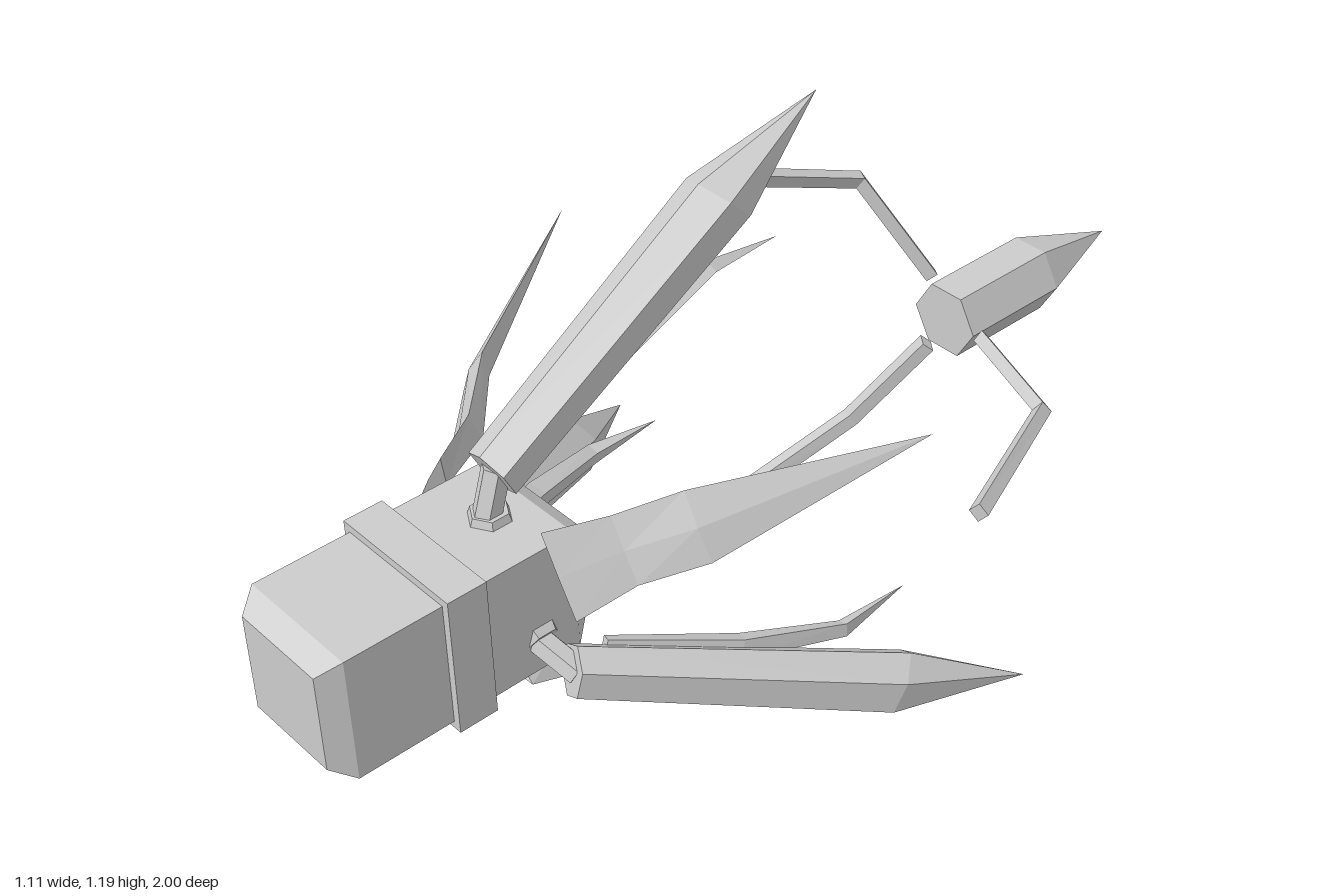
import * as THREE from 'three';

const AXIS_Y = 0.546;
const grey = new THREE.MeshStandardMaterial({ color: 0xcccccc, flatShading: true });
grey.name = 'plain grey';

// Closed solid through a list of rings with equal point counts; a tip is a ring of equal points.
function loft(name, rings) {
  const tris = [];
  const n = rings[0].length;
  for (let i = 0; i < rings.length - 1; i++) {
    for (let j = 0; j < n; j++) {
      const k = (j + 1) % n;
      const a = rings[i][j], b = rings[i][k], c = rings[i + 1][k], d = rings[i + 1][j];
      tris.push([a, b, c], [a, c, d]);
    }
  }
  const first = rings[0], last = rings[rings.length - 1];
  for (let j = 1; j < n - 1; j++) {
    tris.push([first[0], first[j + 1], first[j]], [last[0], last[j], last[j + 1]]);
  }
  const solid = tris.filter(([a, b, c]) =>
    b.clone().sub(a).cross(c.clone().sub(a)).length() > 1e-9);
  // Turn the faces outward if the volume comes out negative
  const volume = solid.reduce((s, [a, b, c]) => s + a.dot(b.clone().cross(c)), 0);
  const points = solid.flatMap(([a, b, c]) => (volume < 0 ? [a, c, b] : [a, b, c]));
  const geo = new THREE.BufferGeometry().setFromPoints(points);
  geo.computeVertexNormals();
  const mesh = new THREE.Mesh(geo, grey);
  mesh.name = name;
  return mesh;
}

const V = (x, y, z) => new THREE.Vector3(x, y, z);
const tip = (y, z, n) => Array.from({ length: n }, () => V(0, y, z));
const square = (h, z) => [V(-h, -h, z), V(h, -h, z), V(h, h, z), V(-h, h, z)];

// Six-sided ring between an outer and an inner corner, each given as [radius, z]
function hexRing(w, outer, inner) {
  const at = (x, t) => V(x, outer[0] + (inner[0] - outer[0]) * t, outer[1] + (inner[1] - outer[1]) * t);
  return [at(0, 0), at(w, 0.25), at(w, 0.75), at(0, 1), at(-w, 0.75), at(-w, 0.25)];
}

// Four-sided ring at [radius, z], with its thickness along (ny, nz)
function diamond(w, t, y, z, ny, nz) {
  return [V(w, y, z), V(0, y + t * ny, z + t * nz), V(-w, y, z), V(0, y - t * ny, z - t * nz)];
}

function longClaw() {
  const g = new THREE.Group();
  g.name = 'longClaw';
  g.add(loft('clawBlade', [
    hexRing(0.046, [0.254, 0.59], [0.165, 0.545]),
    hexRing(0.055, [0.568, 0.11], [0.483, 0.02]),
    tip(0.643, -0.16, 6),
  ]));
  // Hooked spur under the blade
  g.add(loft('clawSpur', [
    diamond(0.02, 0.018, 0.2, 0.49, 0.83, 0.55),
    diamond(0.028, 0.025, 0.325, 0.28, 0.83, 0.55),
    diamond(0.02, 0.016, 0.396, 0.09, 0.98, 0.2),
    tip(0.39, -0.07, 4),
  ]));
  // Hinge pin and its socket on the body
  const pin = new THREE.Mesh(new THREE.CylinderGeometry(0.026, 0.026, 0.11, 6), grey);
  pin.name = 'hingePin';
  pin.position.set(0, 0.165, 0.575);
  pin.rotation.x = -0.3;
  const socket = new THREE.Mesh(new THREE.CylinderGeometry(0.035, 0.045, 0.03, 6), grey);
  socket.name = 'hingeSocket';
  socket.position.set(0, 0.125, 0.58);
  g.add(pin, socket);
  return g;
}

// Short leaf-like claw: flat outside, ridged inside
function shortClaw() {
  const ring = (w, y, z, t, bump) => [
    V(w, y, z), V(0, y + bump * 0.7, z + bump * 0.7), V(-w, y, z), V(0, y - t * 0.75, z - t * 0.66),
  ];
  return loft('shortClaw', [
    ring(0.08, 0.2, 0.577, 0.032, 0.002),
    ring(0.063, 0.252, 0.475, 0.042, 0.002),
    ring(0.065, 0.341, 0.383, 0.03, 0.008),
    tip(0.545, 0.03, 4),
  ]);
}

// Thin bent arm around the rear spike
function rearArm() {
  return loft('rearArm', [
    diamond(0.02, 0.016, 0.092, -0.53, 0.4, -0.92),
    diamond(0.02, 0.018, 0.324, -0.44, 0.75, -0.66),
    diamond(0.02, 0.018, 0.445, -0.135, 0.93, -0.37),
  ]);
}

export function createModel() {
  const model = new THREE.Group();
  model.name = 'clawDevice';
  const core = new THREE.Group();
  core.name = 'core';
  core.position.y = AXIS_Y;
  model.add(core);

  // Square body with bevelled ends, and its collar
  core.add(loft('body', [square(0.095, 0.465), square(0.125, 0.505), square(0.125, 0.96), square(0.098, 1)]));
  const collar = new THREE.Mesh(new THREE.BoxGeometry(0.28, 0.28, 0.077), grey);
  collar.name = 'collar';
  collar.position.z = 0.733;
  core.add(collar);

  // Detached rear spike
  const hex = (r, z) => Array.from({ length: 6 }, (_, i) =>
    V(r * Math.cos(i * Math.PI / 3), r * Math.sin(i * Math.PI / 3), z));
  core.add(loft('rearSpike', [hex(0.076, -0.525), hex(0.076, -0.77), tip(0, -1, 6)]));

  // Three of each limb around the axis
  for (let i = 0; i < 3; i++) {
    const turn = i * Math.PI * 2 / 3;
    const limbs = [[longClaw(), 0], [shortClaw(), Math.PI], [rearArm(), -Math.PI / 2]];
    for (const [part, offset] of limbs) {
      part.rotation.z = turn + offset;
      core.add(part);
    }
  }
  return model;
}
